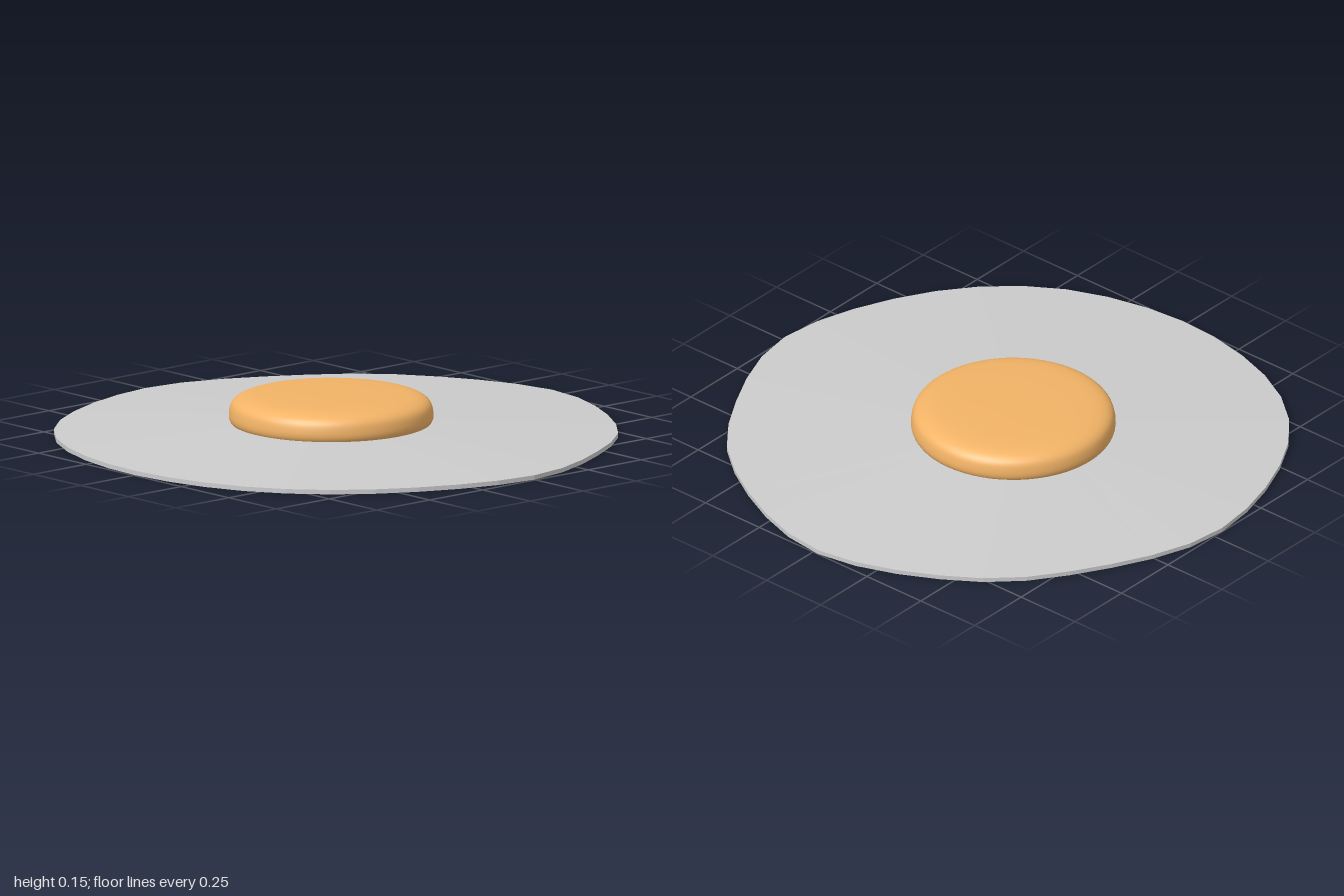
import * as THREE from 'three';

const SEGMENTS = 40;
const YOLK = { x: -0.04, z: 0.03, radius: 0.355 };

// Slightly uneven rim of the egg white: [degrees from +x towards +z, radius]
const RIM = [
  [0, 0.995], [35, 0.98], [62, 0.995], [92, 0.995], [122, 1.02], [145, 1.015],
  [180, 1.0], [212, 0.945], [235, 0.96], [270, 1.0], [308, 0.96], [330, 0.95],
];

function rimPoints() {
  const knots = RIM.map(([deg, r]) => {
    const a = THREE.MathUtils.degToRad(deg);
    return new THREE.Vector3(Math.cos(a) * r, 0, Math.sin(a) * r);
  });
  return new THREE.CatmullRomCurve3(knots, true).getSpacedPoints(SEGMENTS).slice(0, SEGMENTS);
}

// Thin disc: flat underside, upright rim, gentle slope up to the yolk
function createWhite() {
  const rim = rimPoints();
  const inner = rim.map((p) => {
    const a = Math.atan2(p.z, p.x);
    return new THREE.Vector3(YOLK.x + Math.cos(a) * 0.34, 0.05, YOLK.z + Math.sin(a) * 0.34);
  });
  const at = (p, y) => [p.x, y, p.z];
  const pos = [];
  const tri = (a, b, c) => pos.push(...a, ...b, ...c);
  for (let i = 0; i < SEGMENTS; i++) {
    const j = (i + 1) % SEGMENTS;
    const [b0, b1] = [at(rim[i], 0), at(rim[j], 0)];
    const [t0, t1] = [at(rim[i], 0.016), at(rim[j], 0.016)];
    const [n0, n1] = [at(inner[i], 0.05), at(inner[j], 0.05)];
    tri([0, 0, 0], b0, b1);
    tri(b0, t0, b1);
    tri(t0, t1, b1);
    tri(t0, n0, t1);
    tri(n0, n1, t1);
    tri(n0, [YOLK.x, 0.05, YOLK.z], n1);
  }
  const geometry = new THREE.BufferGeometry();
  geometry.setAttribute('position', new THREE.Float32BufferAttribute(pos, 3));
  geometry.computeVertexNormals();
  const mesh = new THREE.Mesh(geometry, new THREE.MeshStandardMaterial({ color: 0xcccccc }));
  mesh.name = 'eggWhite';
  return mesh;
}

// Flattened dome with a soft shoulder
function createYolk() {
  const profile = new THREE.SplineCurve([
    [0.335, 0.03], [0.357, 0.055], [0.359, 0.085], [0.347, 0.118],
    [0.31, 0.138], [0.24, 0.146], [0.12, 0.149], [0, 0.15],
  ].map(([r, y]) => new THREE.Vector2(r, y))).getPoints(28);
  profile[profile.length - 1].x = 0;
  const mesh = new THREE.Mesh(
    new THREE.LatheGeometry(profile, 64),
    new THREE.MeshStandardMaterial({ color: 0xf2b366 }),
  );
  mesh.position.set(YOLK.x, 0, YOLK.z);
  mesh.name = 'yolk';
  return mesh;
}

export function createModel() {
  const model = new THREE.Group();
  model.name = 'friedEgg';
  model.add(createWhite(), createYolk());
  return model;
}
